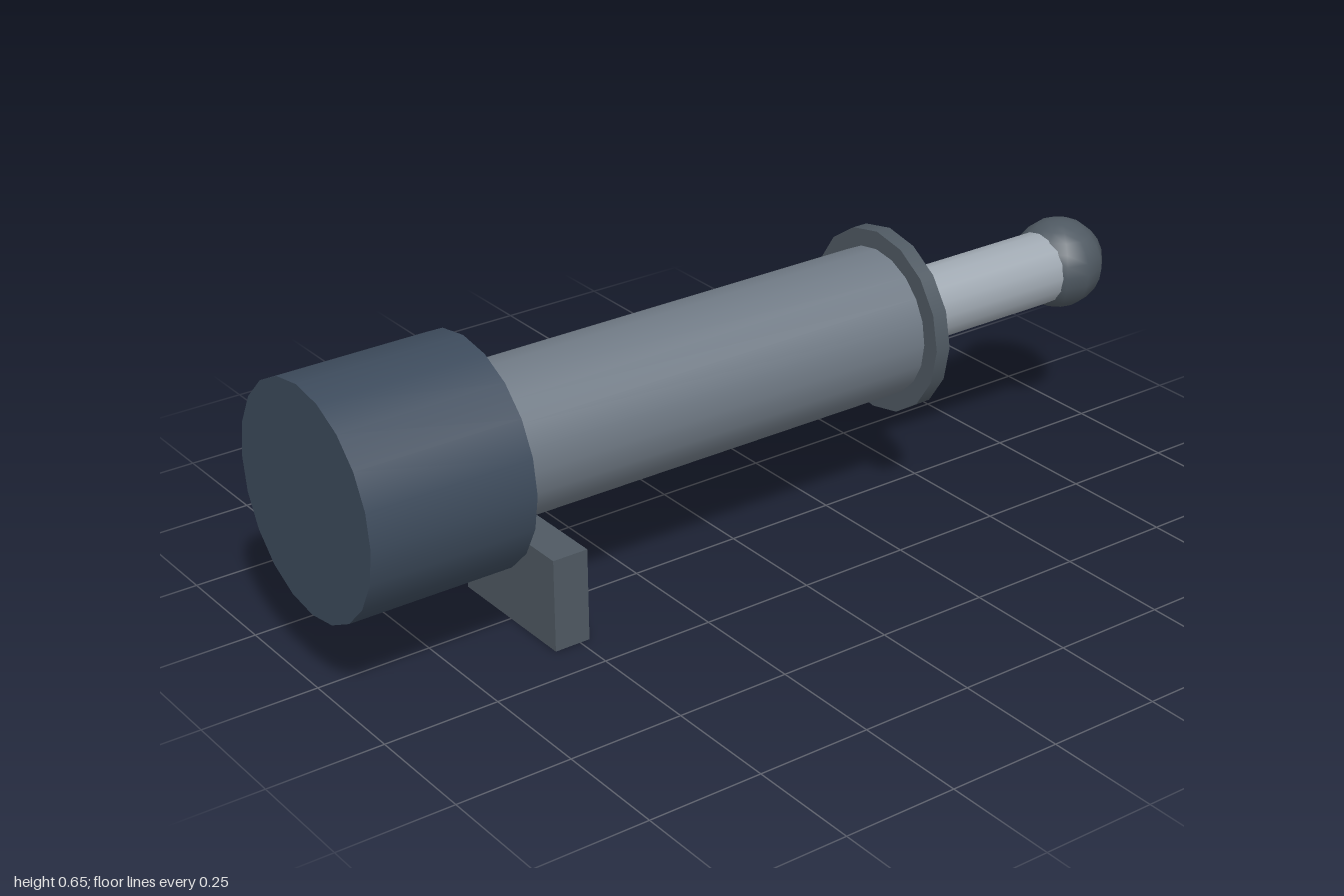
import * as THREE from 'three';

const AXIS_Y = 0.405;

export function createModel() {
  const model = new THREE.Group();
  const paint = (color) => new THREE.MeshStandardMaterial({ color });
  const navy = paint(0x3d4b5c);
  const slate = paint(0x4f5962);
  const steel = paint(0x707a85);
  const silver = paint(0xa0a9b2);

  const add = (name, geometry, material, x, y) => {
    const mesh = new THREE.Mesh(geometry, material);
    mesh.name = name;
    mesh.position.set(x, y, 0);
    model.add(mesh);
    return mesh;
  };

  // Cylinder lying along x between two stations
  const rod = (name, x0, x1, radius, sides, material) => {
    const geometry = new THREE.CylinderGeometry(radius, radius, x1 - x0, sides);
    geometry.rotateZ(-Math.PI / 2);
    return add(name, geometry, material, (x0 + x1) / 2, AXIS_Y);
  };

  // Coaxial parts, from the rear cap to the tip
  rod('rearCap', -1, -0.64, 0.243, 20, navy);
  rod('barrel', -0.615, 0.38, 0.162, 20, steel);
  rod('collar', 0.375, 0.41, 0.202, 16, slate);
  rod('pistonRod', 0.4, 0.9, 0.081, 16, silver);
  add('ballTip', new THREE.SphereGeometry(0.101, 12, 12), slate, 0.899, AXIS_Y);

  // Support block under the barrel
  add('supportBlock', new THREE.BoxGeometry(0.08, 0.203, 0.324), slate, -0.518, 0.1015);

  return model;
}
